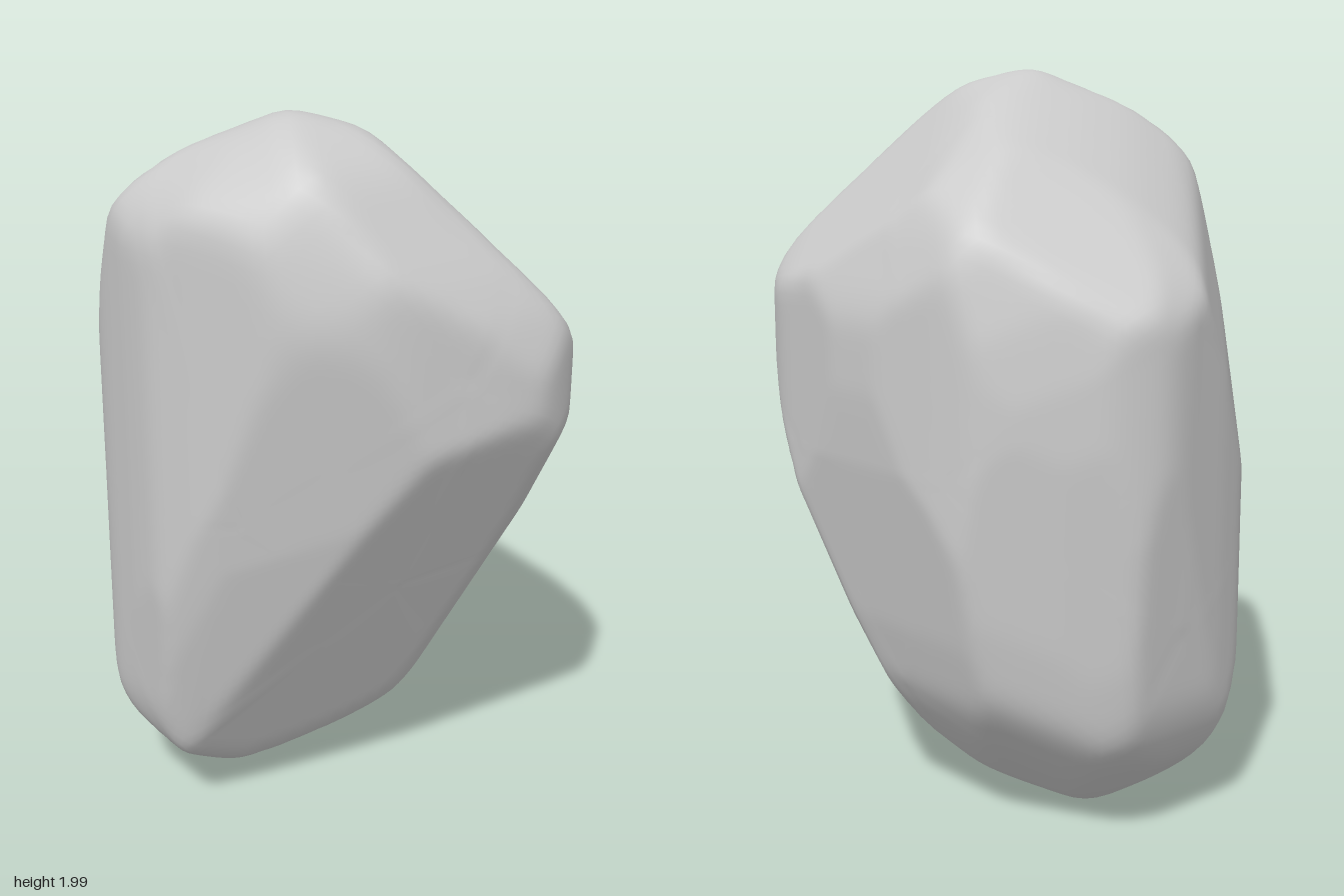
import * as THREE from 'three';
import { mergeVertices } from 'three/addons/utils/BufferGeometryUtils.js';

// Cutting planes that roll around a rounded outline, turned by yaw and tilt (degrees)
function cutsAround(yaw, tilt, points) {
  const a = THREE.MathUtils.degToRad(yaw), e = THREE.MathUtils.degToRad(tilt);
  const u = new THREE.Vector3(Math.cos(a), 0, -Math.sin(a));
  const v = new THREE.Vector3(-Math.sin(a) * Math.sin(e), Math.cos(e), -Math.cos(a) * Math.sin(e));
  const corners = points.map(([x, y]) => new THREE.Vector3().addScaledVector(u, x).addScaledVector(v, y));
  const outline = new THREE.CatmullRomCurve3(corners, true, 'catmullrom', 0.25).getPoints(120);
  const cuts = [];
  for (let k = 0; k < 72; k++) {
    const t = (k / 72) * Math.PI * 2;
    const normal = u.clone().multiplyScalar(Math.cos(t)).addScaledVector(v, Math.sin(t));
    cuts.push({ normal, distance: Math.max(...outline.map((p) => p.dot(normal))) });
  }
  return cuts;
}

// Average each radius with those of its neighbours to soften the ridges
function soften(radii, index) {
  const sum = new Float32Array(radii.length), count = new Float32Array(radii.length);
  for (let t = 0; t < index.length; t += 3) {
    for (let e = 0; e < 3; e++) {
      const a = index[t + e], b = index[t + ((e + 1) % 3)];
      sum[a] += radii[b];
      count[a]++;
    }
  }
  return radii.map((r, i) => (r + sum[i] / count[i]) / 2);
}

function boulderGeometry() {
  // Face on: leaning top, tapering foot
  const face = cutsAround(0, 0, [[-0.08, -1.005], [-0.25, -0.95], [-0.43, -0.8], [-0.515, -0.58], [-0.545, 0.68],
    [-0.39, 0.9], [-0.2, 1.01], [0.13, 0.9], [0.41, 0.7], [0.535, 0.38], [0.52, 0], [0.4, -0.6], [0.2, -0.88]]);
  // From the side: overhanging front, upright back
  const side = cutsAround(-90, 0, [[-0.27, -1.005], [-0.54, -0.8], [-0.63, -0.58], [-0.68, 0.38], [-0.42, 0.7],
    [0.12, 1.01], [0.39, 0.89], [0.62, 0.56], [0.685, 0.38], [0.68, 0.24], [0.24, -0.6], [0.12, -0.84], [0, -0.97]]);
  // Plan
  const plan = cutsAround(0, -90, [[-0.545, 0.05], [-0.4, 0.38], [-0.2, 0.55], [0.18, 0.685], [0.37, 0.61],
    [0.48, 0.42], [0.545, 0], [0.47, -0.38], [0.25, -0.62], [0.08, -0.685], [-0.3, -0.57], [-0.5, -0.26]]);
  // Tilted diagonals
  const frontDiagonal = cutsAround(45, 22, [[-0.21, 0.95], [-0.38, 0.9], [-0.5, 0.78], [-0.565, 0.5], [-0.32, -0.61],
    [-0.19, -0.76], [0, -0.88], [0.2, -0.86], [0.54, -0.53], [0.62, 0.22], [0.59, 0.5], [0.29, 0.78]]);
  const backDiagonal = cutsAround(225, 22, [[0.18, 0.96], [0.47, 0.87], [0.555, 0.52], [0.49, -0.05], [0.32, -0.88],
    [0.06, -1.04], [-0.09, -1.055], [-0.53, -0.74], [-0.615, 0.12], [-0.55, 0.58], [-0.32, 0.76]]);
  const lowDiagonal = cutsAround(135, -22, [[-0.11, 0.85], [0.06, 0.855], [0.29, 0.76], [0.49, 0.6], [0.61, 0.07],
    [0.645, -0.38], [0.49, -0.74], [0.2, -0.88], [-0.25, -0.65], [-0.695, 0.15], [-0.67, 0.38]]);
  // Broad flat of the undercut front
  const undercut = { normal: new THREE.Vector3(-0.2, -0.53, 1).normalize(), distance: 0.44 };
  const cuts = [...face, ...side, ...plan, ...frontDiagonal, ...backDiagonal, ...lowDiagonal, undercut];

  // A welded sphere whose vertices stop at the nearest cut
  const sphere = new THREE.IcosahedronGeometry(1, 32);
  sphere.deleteAttribute('uv');
  sphere.deleteAttribute('normal');
  const geometry = mergeVertices(sphere, 1e-5);
  const position = geometry.attributes.position;
  const rays = [];
  for (let i = 0; i < position.count; i++) {
    rays.push(new THREE.Vector3().fromBufferAttribute(position, i).normalize());
  }
  let radii = rays.map((ray) => {
    let nearest = Infinity;
    for (const { normal, distance } of cuts) {
      const slope = normal.dot(ray);
      if (slope > 1e-4) nearest = Math.min(nearest, distance / slope);
    }
    return nearest;
  });
  for (let pass = 0; pass < 2; pass++) radii = soften(radii, geometry.index.array);
  rays.forEach((ray, i) => position.setXYZ(i, ray.x * radii[i], ray.y * radii[i], ray.z * radii[i]));

  // Stand it on the ground
  geometry.computeBoundingBox();
  geometry.translate(0, -geometry.boundingBox.min.y, 0);
  geometry.computeVertexNormals();
  return geometry;
}

export function createModel() {
  const group = new THREE.Group();
  const boulder = new THREE.Mesh(boulderGeometry(), new THREE.MeshStandardMaterial({ color: 0xcccccc }));
  boulder.name = 'boulder';
  group.add(boulder);
  return group;
}
